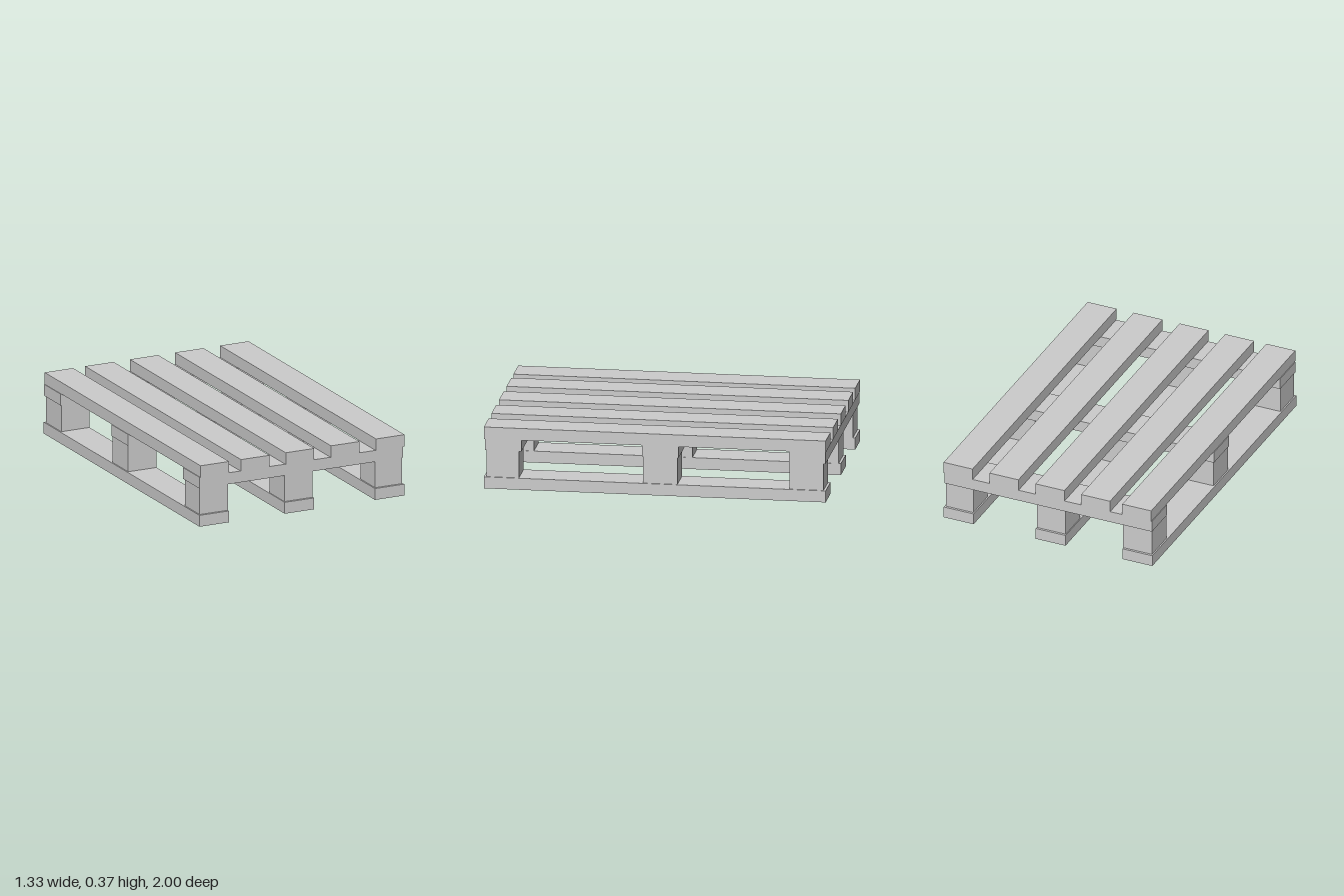
import * as THREE from 'three';

export function createModel() {
  const pallet = new THREE.Group();
  pallet.name = 'pallet';
  const grey = new THREE.MeshStandardMaterial({ color: 0xcccccc });
  grey.name = 'plain grey';

  // Box given by its [min, max] range on each axis
  function board(name, [x0, x1], [y0, y1], [z0, z1]) {
    const mesh = new THREE.Mesh(new THREE.BoxGeometry(x1 - x0, y1 - y0, z1 - z0), grey);
    mesh.position.set((x0 + x1) / 2, (y0 + y1) / 2, (z0 + z1) / 2);
    mesh.name = name;
    pallet.add(mesh);
  }

  const length = [-1, 1];

  // Five deck slats running front to back
  for (const x of [-0.566, -0.304, -0.014, 0.279, 0.571]) {
    board('deckSlat', [x - 0.092, x + 0.092], [0.298, 0.369], length);
  }

  // Three cross boards under the deck
  for (const z of [-0.892, -0.032, 0.887]) {
    board('crossBoard', [-0.662, 0.658], [0.229, 0.298], [z - 0.106, z + 0.106]);
  }

  // Nine spacer blocks
  const blockX = [[-0.657, -0.473], [-0.108, 0.075], [0.48, 0.655]];
  const blockZ = [[-0.986, -0.788], [-0.131, 0.07], [0.796, 0.986]];
  for (const x of blockX) for (const z of blockZ) board('spacerBlock', x, [0.069, 0.229], z);

  // Three bottom runners
  for (const x of [-0.57, -0.018, 0.567]) {
    board('bottomRunner', [x - 0.095, x + 0.095], [0, 0.069], length);
  }

  return pallet;
}
